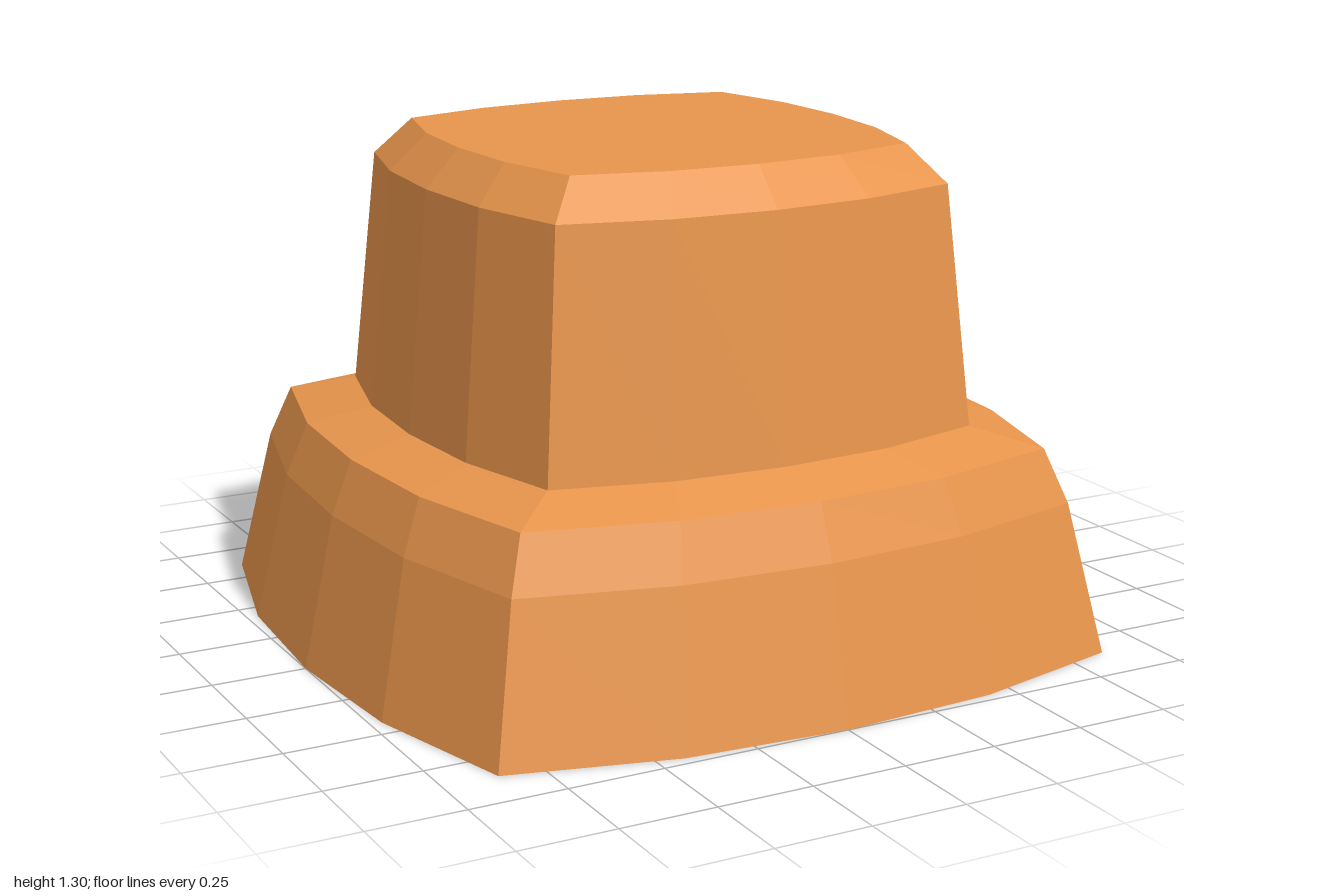
import * as THREE from 'three';

// One quarter of the bulged square outline [x, z], from mid-side to the next mid-side
const QUARTER = [[0, 1], [0.43, 0.97], [0.86, 0.86], [0.97, 0.43]];

// Outline point k of 16, each quarter turned 90 degrees from the last
function outlinePoint(k) {
  let [x, z] = QUARTER[k % 4];
  for (let q = 0; q < Math.floor((k % 16) / 4); q++) [x, z] = [z, -x];
  return [x, z];
}

// Lathe a profile of [scale, y] in 16 steps, then push each step onto the outline
function outlineSolid(name, profile, material) {
  const lathe = new THREE.LatheGeometry(profile.map(([s, y]) => new THREE.Vector2(s, y)), 16);
  const pos = lathe.attributes.position;
  for (let i = 0; i < pos.count; i++) {
    const [s, y] = profile[i % profile.length];
    const [x, z] = outlinePoint(Math.floor(i / profile.length));
    pos.setXYZ(i, x * s, y, z * s);
  }
  const geometry = lathe.toNonIndexed();
  geometry.computeVertexNormals();
  const mesh = new THREE.Mesh(geometry, material);
  mesh.name = name;
  return mesh;
}

export function createModel() {
  const group = new THREE.Group();
  group.name = 'steppedBlock';
  const orange = new THREE.MeshStandardMaterial({ color: 0xe8954c, flatShading: true });

  // Wide flared base with a bevelled rim and a sloping ledge
  group.add(outlineSolid('base', [[0, 0], [1, 0], [0.915, 0.395], [0.86, 0.535], [0.7, 0.58]], orange));

  // Tapered upper block with a bevelled flat top
  group.add(outlineSolid('upperBlock', [[0.7, 0.58], [0.64, 1.207], [0.55, 1.305], [0, 1.305]], orange));

  return group;
}
